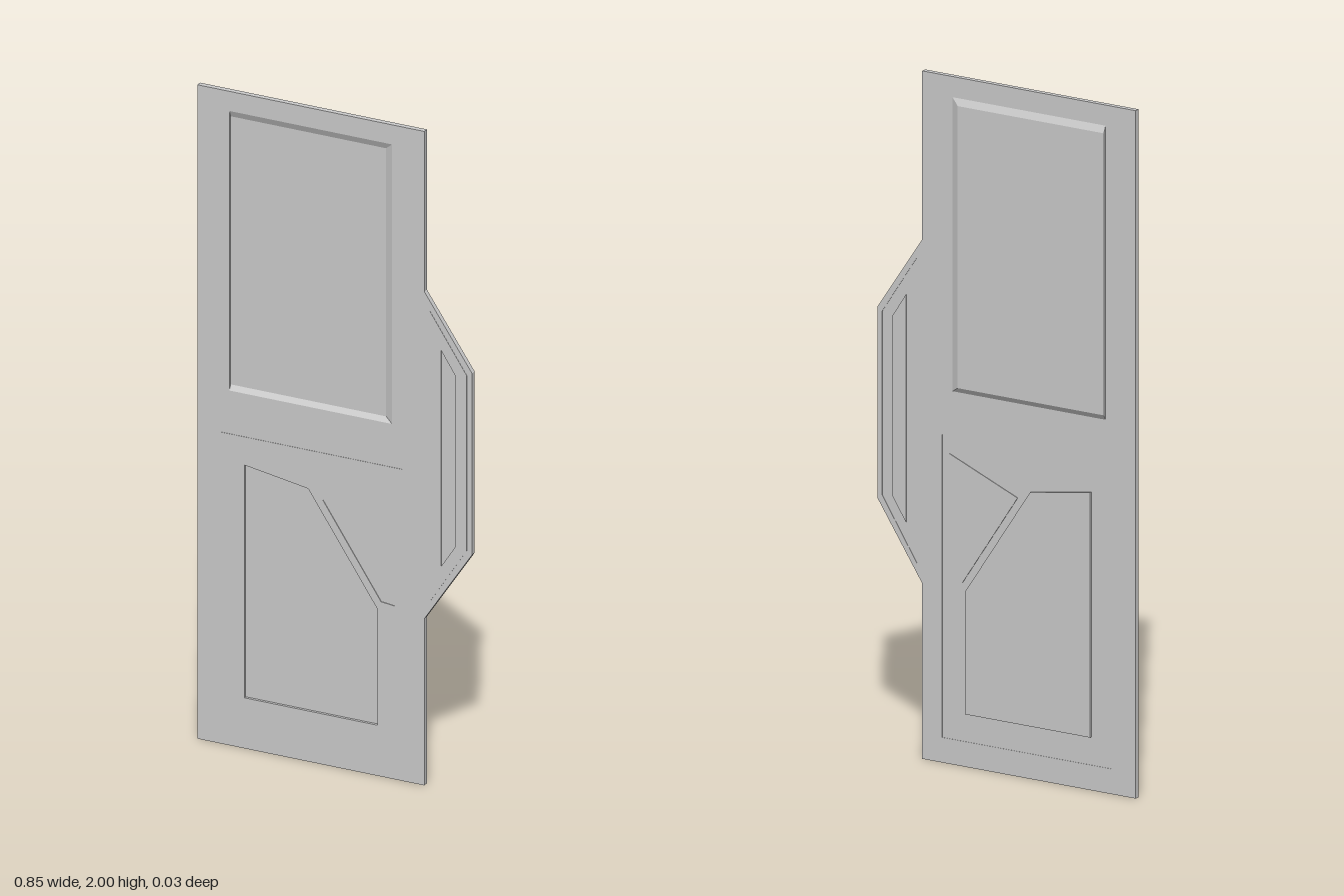
import * as THREE from 'three';

const material = new THREE.MeshStandardMaterial({ color: 0xcccccc, flatShading: true });
const BACK = -0.004;     // back face of the main sheet
const THICK = 0.016;     // sheet thickness

// Outlines, counter-clockwise seen from the front
const WINDOW_OUTER = [[-0.327, 1.085], [0.178, 1.085], [0.178, 1.94], [-0.327, 1.94]];
const WINDOW_INNER = [[-0.327, 1.1], [0.155, 1.1], [0.155, 1.92], [-0.327, 1.92]];
const LOWER_FIELD = [[-0.35, 0.073], [0.212, 0.073], [0.212, 0.953], [-0.35, 0.953]];
const LOWER_PANEL = [[-0.28, 0.155], [0.133, 0.155], [0.133, 0.51], [-0.082, 0.835], [-0.28, 0.867]];
const CORNER_PANEL = [[-0.037, 0.81], [0.144, 0.535], [0.187, 0.53], [0.187, 0.902]];
const WING_FIELD = [[0.295, 0.565], [0.41, 0.745], [0.41, 1.28], [0.295, 1.455]];
const GRIP = [[0.33, 0.68], [0.375, 0.75], [0.375, 1.272], [0.33, 1.342]];
const OUTLINE = [
  [-0.426, 0], [0.278, 0], [0.278, 0.51], [0.426, 0.735],
  [0.426, 1.29], [0.278, 1.51], [0.278, 2], [-0.426, 2],
];

const toPoints = (list) => list.map(([x, y]) => new THREE.Vector2(x, y));

// A flat pressed plate, moved in z by offset from the main sheet
function plate(name, outline, offset, holes = []) {
  const shape = new THREE.Shape(toPoints(outline));
  for (const hole of holes) shape.holes.push(new THREE.Path(toPoints(hole)));
  const geometry = new THREE.ExtrudeGeometry(shape, { depth: THICK, bevelEnabled: false });
  geometry.translate(0, 0, BACK + offset);
  const mesh = new THREE.Mesh(geometry, material);
  mesh.name = name;
  return mesh;
}

// A pan with sloping borders: front and back skins from outer to inner outline
function pan(name, outer, inner, offset) {
  const positions = [];
  const skin = (z, flip) => {
    const tri = (a, b, c) => positions.push(...(flip ? [a, c, b] : [a, b, c]).flat());
    const quad = (a, b, c, d) => { tri(a, b, c); tri(a, c, d); };
    const o = outer.map(([x, y]) => [x, y, z]);
    const i = inner.map(([x, y]) => [x, y, z + offset]);
    quad(...i);
    for (let k = 0; k < 4; k++) {
      const n = (k + 1) % 4;
      quad(o[k], o[n], i[n], i[k]);
    }
  };
  skin(BACK + THICK, false);
  skin(BACK, true);
  const geometry = new THREE.BufferGeometry();
  geometry.setAttribute('position', new THREE.Float32BufferAttribute(positions, 3));
  geometry.computeVertexNormals();
  const mesh = new THREE.Mesh(geometry, material);
  mesh.name = name;
  return mesh;
}

export function createModel() {
  const model = new THREE.Group();
  model.name = 'doorPanel';
  model.add(
    plate('mainSheet', OUTLINE, 0, [WINDOW_OUTER, LOWER_FIELD, WING_FIELD]),
    // Upper recess, bulging out at the back
    pan('upperRecess', WINDOW_OUTER, WINDOW_INNER, -0.009),
    // Lower field, slightly proud of the front, with two recesses
    plate('lowerField', LOWER_FIELD, 0.001, [LOWER_PANEL, CORNER_PANEL]),
    plate('lowerRecess', LOWER_PANEL, -0.007),
    plate('cornerRecess', CORNER_PANEL, -0.001),
    // Side wing with its grip recess
    plate('wingField', WING_FIELD, 0.001, [GRIP]),
    plate('gripRecess', GRIP, -0.003),
  );
  return model;
}
